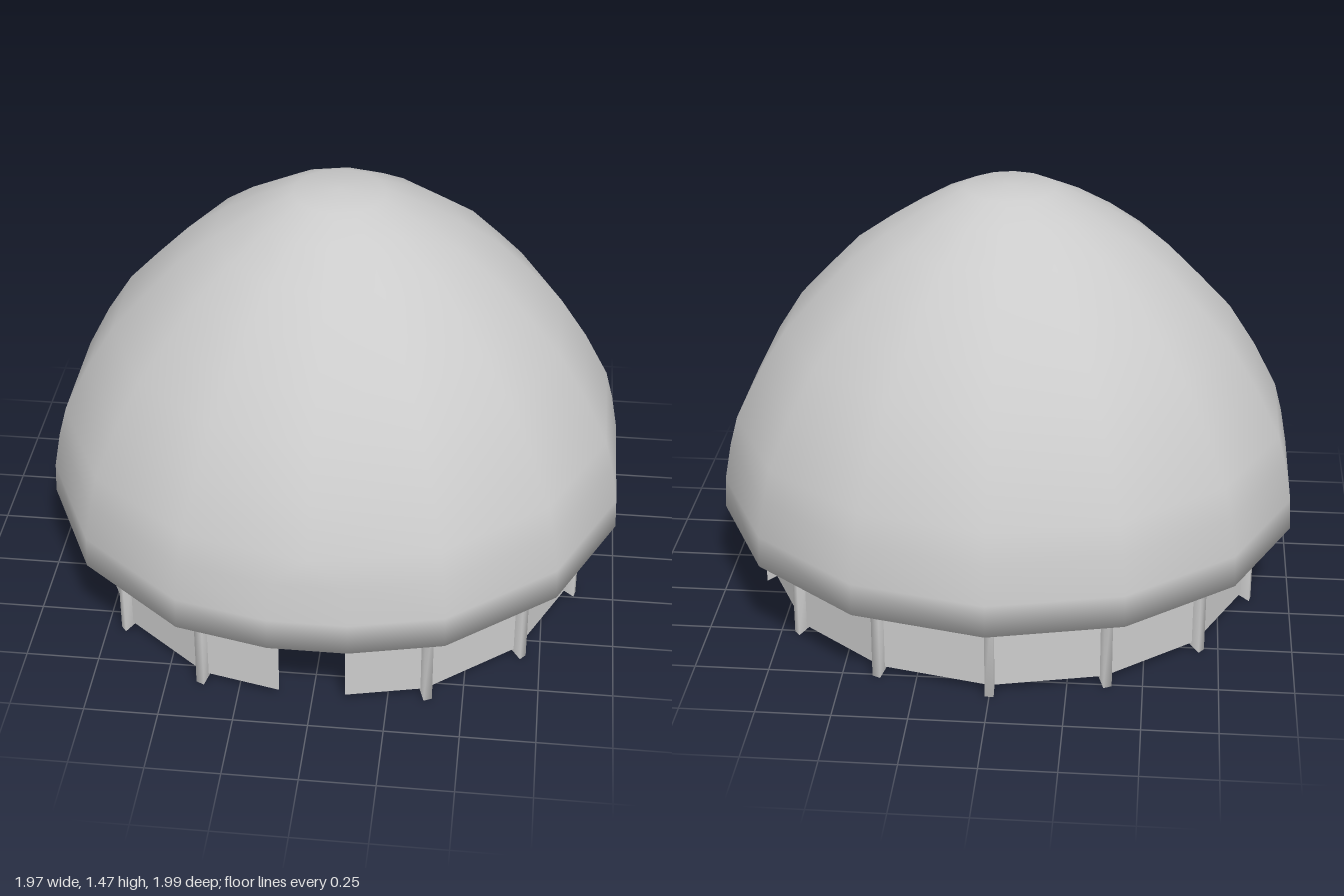
import * as THREE from 'three';
import { mergeVertices } from 'three/addons/utils/BufferGeometryUtils.js';

const SIDES = 14;
const STEP = (Math.PI * 2) / SIDES;
const DOOR = 0.297; // share of the front edge taken by half the doorway

// Point j of a 14-gon whose front corner is cut into two points (j = 0 and 14).
function corner(j, r, cut) {
  if (j > 0 && j < SIDES) return [r * Math.sin(j * STEP), r * Math.cos(j * STEP)];
  const t = cut ? DOOR : 0;
  const side = j === 0 ? 1 : -1;
  return [side * t * r * Math.sin(STEP), r * (1 - t * (1 - Math.cos(STEP)))];
}

// Weld equal points so that the shading runs smoothly across all faces.
function smooth(geo) {
  geo.deleteAttribute('normal');
  geo.deleteAttribute('uv');
  const merged = mergeVertices(geo, 1e-4);
  merged.computeVertexNormals();
  return merged;
}

// Sweep a [radius, y] profile round the plan; open shells leave the doorway free.
function shell(profile, closed, cutBelow) {
  const pos = [], index = [], n = SIDES + 1;
  for (const [r, y] of profile)
    for (let j = 0; j < n; j++) {
      const [x, z] = corner(j, r, y < cutBelow);
      pos.push(x, y, z);
    }
  for (let i = 0; i < profile.length - 1; i++)
    for (let j = 0; j < (closed ? n : n - 1); j++) {
      const k = (j + 1) % n;
      const a = i * n + j, b = a + n, c = (i + 1) * n + k, d = i * n + k;
      index.push(a, b, c, a, c, d);
    }
  const geo = new THREE.BufferGeometry();
  geo.setAttribute('position', new THREE.Float32BufferAttribute(pos, 3));
  geo.setIndex(index);
  return smooth(geo);
}

export function createModel() {
  const group = new THREE.Group();
  const add = (name, geo, options, z) => {
    const mesh = new THREE.Mesh(geo, new THREE.MeshStandardMaterial({ color: 0xcccccc, ...options }));
    mesh.name = name;
    mesh.position.z = z;
    group.add(mesh);
    return mesh;
  };

  // Domed roof from the top down to the eave, then the soffit up to the wall
  const roofProfile = [
    [0, 1.47], [0.155, 1.46], [0.28, 1.4], [0.42, 1.315], [0.55, 1.22], [0.665, 1.1], [0.775, 0.98],
    [0.87, 0.83], [0.955, 0.665], [0.983, 0.56], [1.007, 0.43], [1.012, 0.32], [0.85, 0.43],
  ];
  add('roof', shell(roofProfile, true, 0.62), { side: THREE.DoubleSide }, 0.012);

  // Thin wall panels, open at the front doorway
  add('wall', shell([[0.86, 0.395], [0.86, 0.028]], false, 1), { side: THREE.DoubleSide, flatShading: true }, 0.035);

  // Wall posts with feet cut at a slant, one at every corner but the doorway
  const postGeo = new THREE.BoxGeometry(0.03, 0.4, 0.06).translate(0, 0.2, 0);
  const p = postGeo.attributes.position;
  for (let i = 0; i < p.count; i++)
    if (p.getY(i) < 0.1 && p.getZ(i) < 0) p.setY(i, 0.03);
  const postShape = smooth(postGeo);
  for (let j = 1; j < SIDES; j++) {
    const [x, z] = corner(j, 0.857, false);
    const post = add('post', postShape, {}, z + 0.035);
    post.position.x = x;
    post.rotation.y = j * STEP;
  }
  return group;
}
